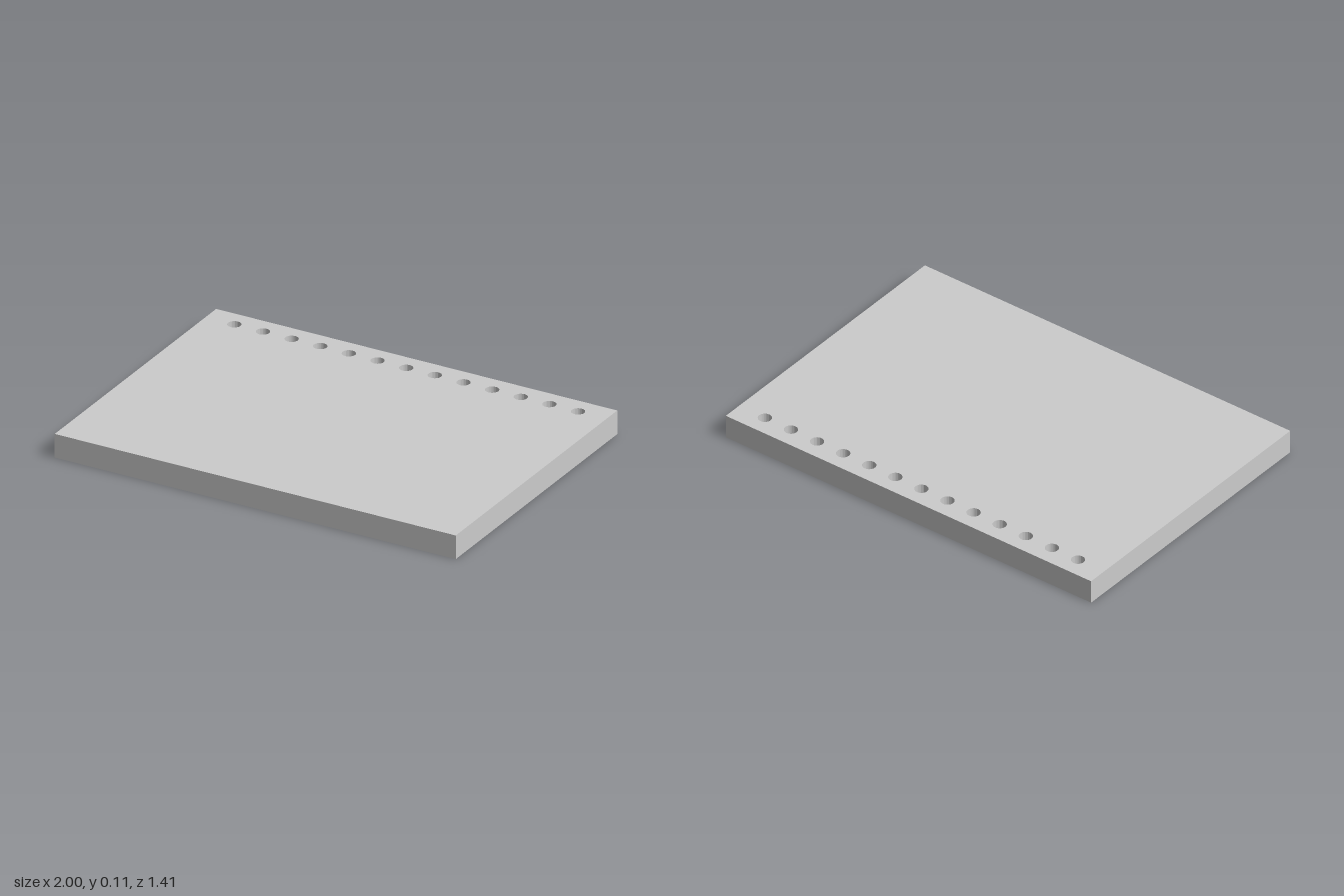
import * as THREE from 'three';
import { toCreasedNormals } from 'three/addons/utils/BufferGeometryUtils.js';

const WIDTH = 2, DEPTH = 1.408, HEIGHT = 0.114;
const HOLE_COUNT = 13, HOLE_RADIUS = 0.031, HOLE_SPACING = 1 / 7, HOLE_Z = -0.612;

export function createModel() {
  const group = new THREE.Group();
  group.name = 'perforatedSlab';

  // Rectangular outline, drawn in plan with the back edge at +y
  const w = WIDTH / 2, d = DEPTH / 2;
  const outline = new THREE.Shape();
  outline.moveTo(-w, -d);
  outline.lineTo(w, -d);
  outline.lineTo(w, d);
  outline.lineTo(-w, d);
  outline.closePath();

  // Row of round through-holes along the back edge
  for (let i = 0; i < HOLE_COUNT; i++) {
    const x = (i - (HOLE_COUNT - 1) / 2) * HOLE_SPACING;
    const hole = new THREE.Path();
    hole.absarc(x, -HOLE_Z, HOLE_RADIUS, 0, Math.PI * 2, true);
    outline.holes.push(hole);
  }

  // Extrude upwards, keeping the rims sharp and the bores smooth
  const geometry = new THREE.ExtrudeGeometry(outline, {
    depth: HEIGHT, bevelEnabled: false, curveSegments: 32,
  });
  geometry.rotateX(-Math.PI / 2);

  const slab = new THREE.Mesh(
    toCreasedNormals(geometry, Math.PI / 6),
    new THREE.MeshStandardMaterial({ color: 0xcccccc }),
  );
  slab.name = 'slab';
  group.add(slab);
  return group;
}
